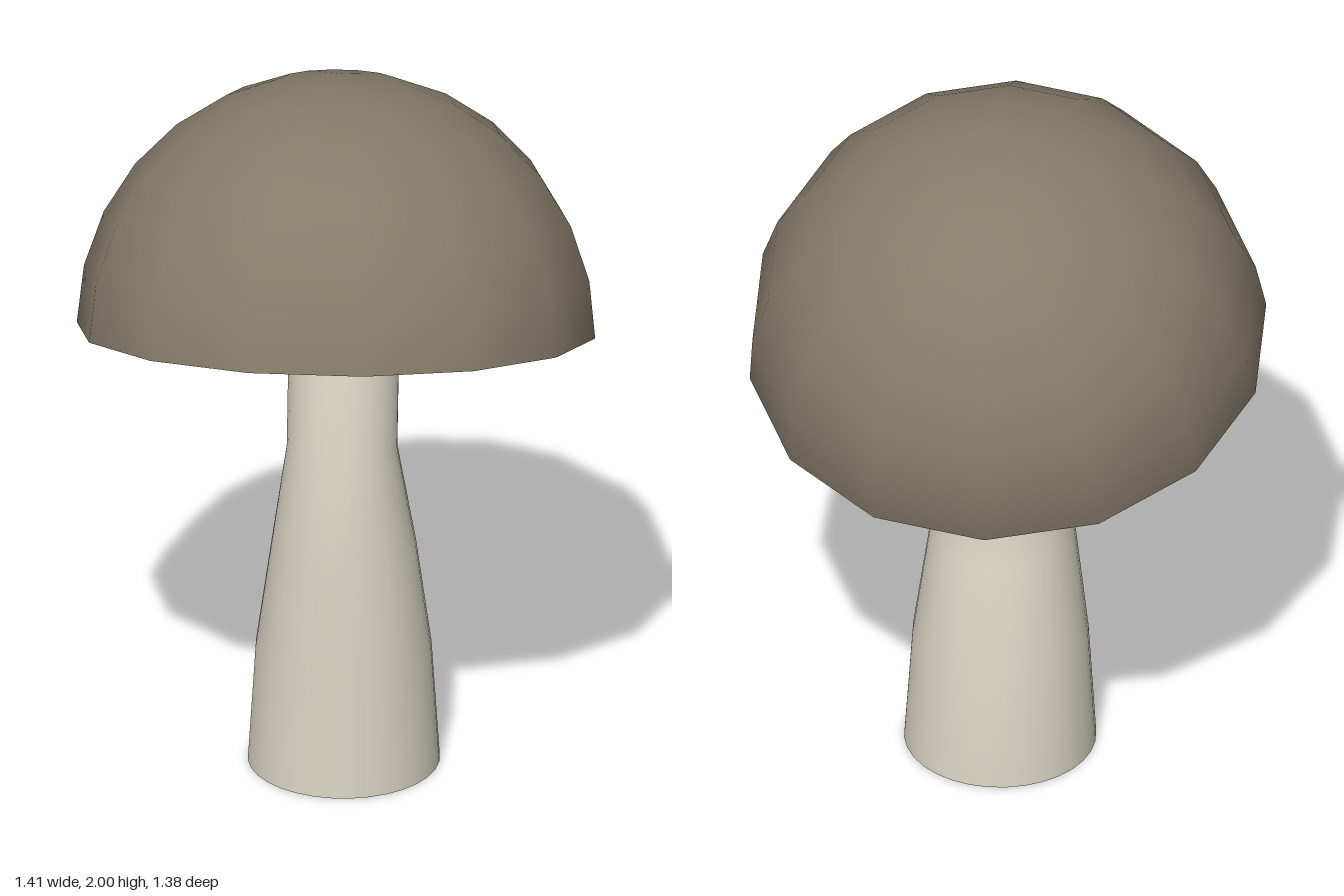
import * as THREE from 'three';
import { toCreasedNormals } from 'three/addons/utils/BufferGeometryUtils.js';

const UP = new THREE.Vector3(0, 1, 0);
const CAP_AXIS = new THREE.Vector3(-0.13, 1, -0.25).normalize();

// Stem rings from the ground up: centre, radius, and how far each leans towards the cap's tilt
const RINGS = [
  { c: [0.017, 0, -0.008], r: 0.262, lean: 0 },
  { c: [0.018, 0.345, -0.005], r: 0.24, lean: 0 },
  { c: [0.033, 0.67, 0.02], r: 0.197, lean: 0.15 },
  { c: [0.035, 0.965, 0.033], r: 0.151, lean: 0.75 },
  { c: [0, 1.29, -0.04], r: 0.151, lean: 1 },
].map(({ c, r, lean }) => ({
  centre: new THREE.Vector3(...c),
  r,
  turn: new THREE.Quaternion().setFromUnitVectors(UP, UP.clone().lerp(CAP_AXIS, lean).normalize()),
}));

// A unit cylinder whose rings are scaled, tilted and moved along the bent stem
function stemGeometry() {
  const geo = new THREE.CylinderGeometry(1, 1, 1, 32, RINGS.length - 1);
  const pos = geo.attributes.position;
  const v = new THREE.Vector3();
  for (let i = 0; i < pos.count; i++) {
    v.fromBufferAttribute(pos, i);
    const ring = RINGS[Math.round((v.y + 0.5) * (RINGS.length - 1))];
    v.setY(0).multiplyScalar(ring.r).applyQuaternion(ring.turn).add(ring.centre);
    pos.setXYZ(i, v.x, v.y, v.z);
  }
  return toCreasedNormals(geo, Math.PI / 4);
}

function part(name, geometry, material) {
  const mesh = new THREE.Mesh(geometry, material);
  mesh.name = name;
  return mesh;
}

export function createModel() {
  const model = new THREE.Group();
  model.name = 'mushroom';
  const stemMaterial = new THREE.MeshStandardMaterial({ color: 0xd8d4c2 });
  const capMaterial = new THREE.MeshStandardMaterial({ color: 0x857b69 });

  model.add(part('stem', stemGeometry(), stemMaterial));

  // Tilted cap: a coarse half sphere closed by a flat underside
  const R = 0.711, SIDES = 14;
  const cap = new THREE.Group();
  cap.name = 'cap';
  cap.position.set(0, 1.293, 0.005);
  cap.quaternion.setFromUnitVectors(UP, CAP_AXIS);
  cap.rotateY(-0.05);
  const dome = new THREE.SphereGeometry(R, SIDES, 7, 0, Math.PI * 2, 0, Math.PI / 2);
  const underside = new THREE.CircleGeometry(R, SIDES).rotateX(Math.PI / 2);
  cap.add(part('capDome', dome, capMaterial), part('capUnderside', underside, capMaterial));
  model.add(cap);

  return model;
}
